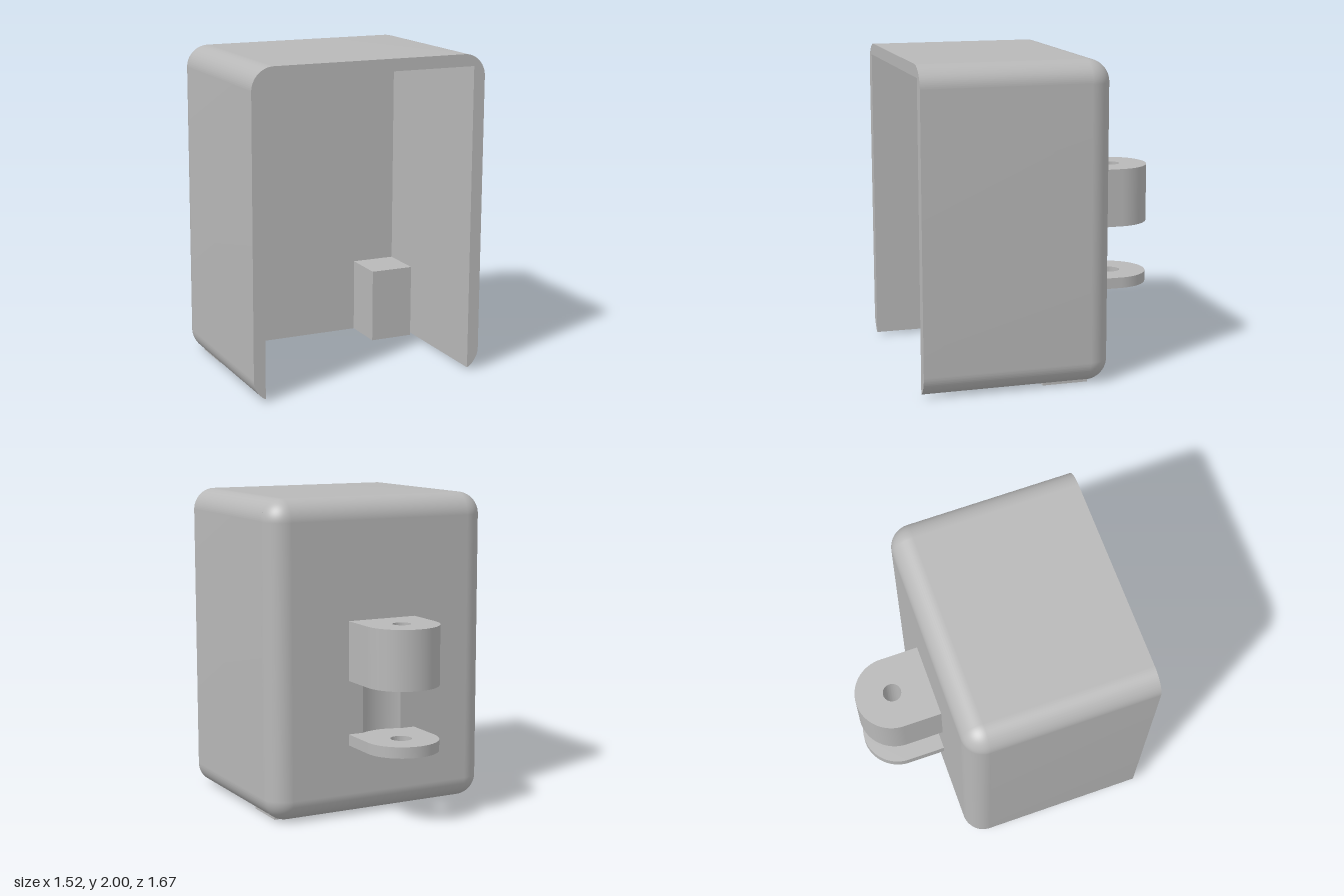
import * as THREE from 'three';
import { toCreasedNormals } from 'three/addons/utils/BufferGeometryUtils.js';

const W = 0.62, LOW = 0.14, HIGH = 1.86, R = 0.14;   // centres of the rounded corners
const BACK = -0.355, INNER = -0.215, FRONT = 0.835;  // depths of the housing
const HINGE_Z = -0.6, LUG_R = 0.235;
const RECESS_R = 0.28, RECESS_LOW = 0.525, RECESS_HIGH = 0.865;
const RECESS_W = Math.sqrt(RECESS_R ** 2 - (BACK - HINGE_Z) ** 2);
const CORNERS = [[W, HIGH], [-W, HIGH], [-W, LOW], [W, LOW]];

// Extrudes a shape drawn in (x, -z) upward from y0 to y1.
function upright(shape, y0, y1) {
  const g = new THREE.ExtrudeGeometry(shape, { depth: y1 - y0, bevelEnabled: false, curveSegments: 32 });
  g.rotateX(-Math.PI / 2).translate(0, y0, 0);
  return toCreasedNormals(g, 0.5);
}

function circle(x, y, r) {
  return new THREE.Path().absarc(x, y, r, 0, Math.PI * 2, true);
}

// Rounded rim of the back wall, from the full outline in to its flat face.
function backRimGeometry() {
  const n = 16, m = 16, pos = [], nor = [], index = [];
  const row = 4 * (n + 1);
  for (let j = 0; j <= m; j++) {
    const t = (j / m) * Math.PI / 2;
    CORNERS.forEach(([cx, cy], c) => {
      for (let i = 0; i <= n; i++) {
        const a = (c + i / n) * Math.PI / 2;
        const d = [Math.cos(a) * Math.cos(t), Math.sin(a) * Math.cos(t), -Math.sin(t)];
        pos.push(cx + R * d[0], cy + R * d[1], INNER + R * d[2]);
        nor.push(...d);
      }
    });
  }
  for (let j = 0; j < m; j++) {
    for (let i = 0; i < row; i++) {
      const a = j * row + i, b = j * row + (i + 1) % row;
      index.push(a, a + row, b, b, a + row, b + row);
    }
  }
  const g = new THREE.BufferGeometry();
  g.setAttribute('position', new THREE.Float32BufferAttribute(pos, 3));
  g.setAttribute('normal', new THREE.Float32BufferAttribute(nor, 3));
  g.setIndex(index);
  return g;
}

export function createModel() {
  const model = new THREE.Group();
  model.name = 'hingedCover';
  const grey = new THREE.MeshStandardMaterial({ color: 0xb8b8b8, side: THREE.DoubleSide });
  grey.name = 'grey';
  const add = (name, geometry, parent = model) => {
    const mesh = new THREE.Mesh(geometry, grey);
    mesh.name = name;
    parent.add(mesh);
    return mesh;
  };

  // Side walls and roof, open at the front and below
  const wall = 0.685, end = Math.acos((wall - W) / R);
  const arch = new THREE.Shape();
  arch.absarc(W, LOW, R, -end, 0, false);
  arch.absarc(W, HIGH, R, 0, Math.PI / 2, false);
  arch.absarc(-W, HIGH, R, Math.PI / 2, Math.PI, false);
  arch.absarc(-W, LOW, R, Math.PI, Math.PI + end, false);
  arch.lineTo(-wall, 1.925);
  arch.lineTo(wall, 1.925);
  arch.closePath();
  const shell = new THREE.ExtrudeGeometry(arch, { depth: FRONT - INNER, bevelEnabled: false, curveSegments: 20 });
  shell.translate(0, 0, INNER);
  add('wallsAndRoof', toCreasedNormals(shell, 0.5));

  // Back wall: rounded rim, inner face, outer face with an opening for the recess
  add('backRim', backRimGeometry());
  const inner = new THREE.Shape();
  CORNERS.forEach(([x, y], c) => inner.absarc(x, y, R, c * Math.PI / 2, (c + 1) * Math.PI / 2, false));
  add('backInnerFace', new THREE.ShapeGeometry(inner, 16).translate(0, 0, INNER));
  const rectangle = (path, w, y0, y1) =>
    path.moveTo(-w, y0).lineTo(w, y0).lineTo(w, y1).lineTo(-w, y1).lineTo(-w, y0);
  const outer = rectangle(new THREE.Shape(), W, LOW, HIGH);
  outer.holes.push(rectangle(new THREE.Path(), RECESS_W, RECESS_LOW, RECESS_HIGH));
  add('backOuterFace', new THREE.ShapeGeometry(outer).rotateY(Math.PI).translate(0, 0, BACK));

  // Shallow round recess between the lugs
  const recess = new THREE.Group();
  recess.name = 'hingeRecess';
  model.add(recess);
  const half = Math.asin(RECESS_W / RECESS_R);
  add('recessWall', new THREE.CylinderGeometry(RECESS_R, RECESS_R, RECESS_HIGH - RECESS_LOW, 16, 1, true, -half, 2 * half)
    .translate(0, (RECESS_HIGH + RECESS_LOW) / 2, HINGE_Z), recess);
  const segment = new THREE.Shape();
  segment.absarc(0, -HINGE_Z, RECESS_R, -Math.PI / 2 - half, -Math.PI / 2 + half, false);
  for (const [name, y] of [['recessFloor', RECESS_LOW], ['recessCeiling', RECESS_HIGH]]) {
    add(name, new THREE.ShapeGeometry(segment, 16).rotateX(-Math.PI / 2).translate(0, y, 0), recess);
  }

  // Hinge lugs with pin holes
  for (const [name, y0, y1, hole] of [['upperLug', RECESS_HIGH, 1.24, 0.058], ['lowerLug', 0.455, RECESS_LOW, 0.067]]) {
    const lug = new THREE.Shape();
    lug.moveTo(-LUG_R, -BACK);
    lug.lineTo(LUG_R, -BACK);
    lug.absarc(0, -HINGE_Z, LUG_R, 0, Math.PI, false);
    lug.closePath();
    lug.holes.push(circle(0, -HINGE_Z, hole));
    add(name, upright(lug, y0, y1));
  }

  // Screw blocks in the back corners, each with a blind hole from below
  const size = 0.285, drill = 0.3, top = 0.475;
  for (const [side, s] of [['left', 1], ['right', -1]]) {
    const block = new THREE.Group();
    block.name = side + 'ScrewBlock';
    block.position.set(s * (wall - size / 2), 0, INNER + size / 2);
    model.add(block);
    const square = rectangle(new THREE.Shape(), size / 2, -size / 2, size / 2);
    square.holes.push(circle(0, 0, 0.052));
    add('drilledBase', upright(square, 0, drill), block);
    add('solidTop', new THREE.BoxGeometry(size, top - drill, size).translate(0, (top + drill) / 2, 0), block);
  }
  return model;
}
